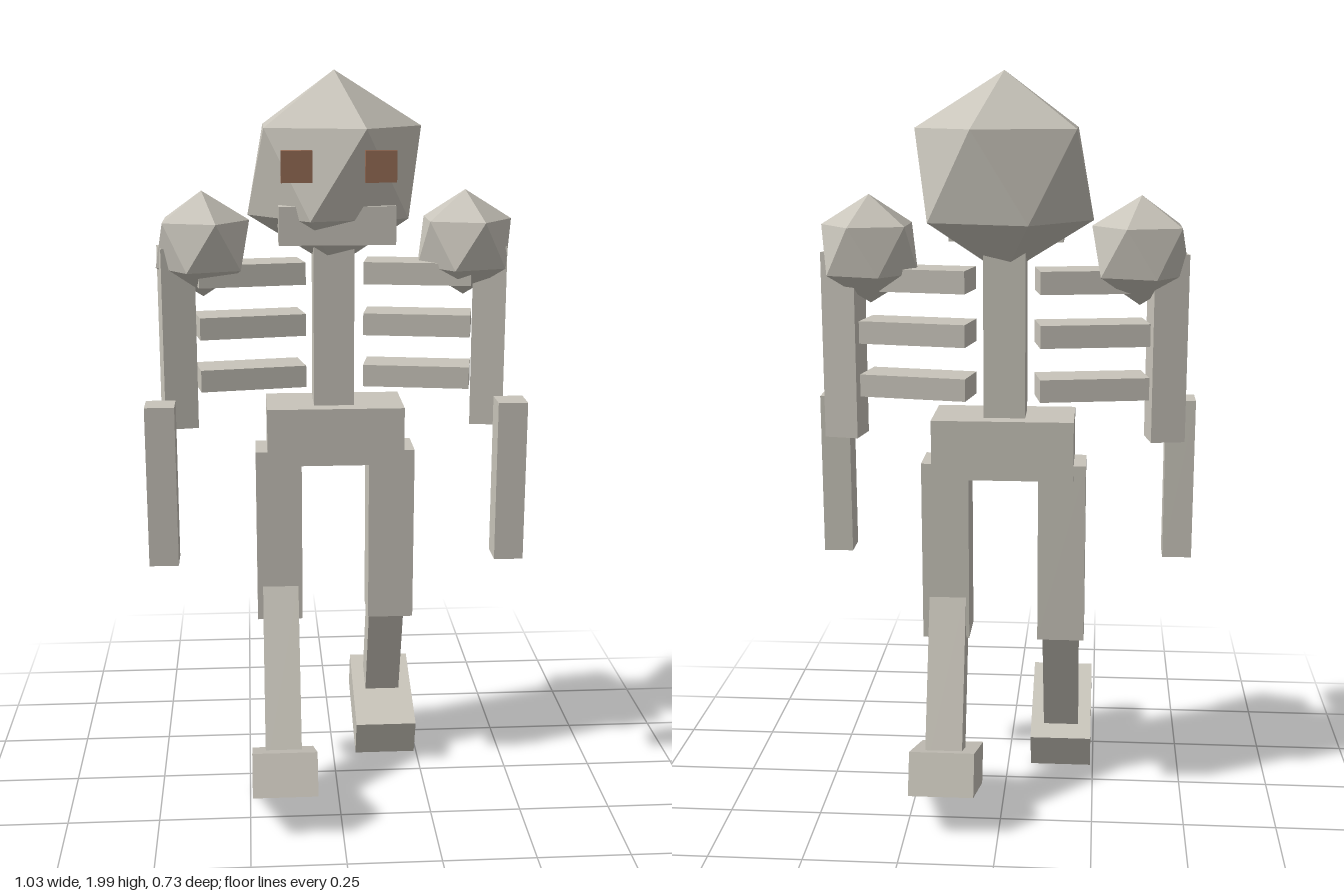
import * as THREE from 'three';
import { ConvexGeometry } from 'three/addons/geometries/ConvexGeometry.js';

const bone = new THREE.MeshStandardMaterial({ color: 0xc8c4ba });
bone.name = 'bone grey';
const rust = new THREE.MeshStandardMaterial({ color: 0x966c55 });
rust.name = 'eye brown';

const rad = THREE.MathUtils.degToRad;

// Twenty-sided ball standing on a point, with an upper-ring corner at +x
function icoBall(r) {
  const points = [new THREE.Vector3(0, r, 0), new THREE.Vector3(0, -r, 0)];
  const h = r / Math.sqrt(5);
  for (let i = 0; i < 10; i++) {
    const a = i * Math.PI / 5;
    points.push(new THREE.Vector3(2 * h * Math.cos(a), i % 2 ? -h : h, 2 * h * Math.sin(a)));
  }
  return new ConvexGeometry(points);
}

export function createModel() {
  const model = new THREE.Group();
  model.name = 'blockySkeleton';

  function add(name, geometry, position, rx = 0, ry = 0, material = bone) {
    const mesh = new THREE.Mesh(geometry, material);
    mesh.name = name;
    mesh.position.set(...position);
    mesh.rotation.set(rad(rx), rad(ry), 0);
    model.add(mesh);
    return mesh;
  }
  const box = (name, size, position, rx, ry, material) =>
    add(name, new THREE.BoxGeometry(...size), position, rx, ry, material);

  // Head and jaw
  add('skull', icoBall(0.26), [0, 1.74, -0.075]).scale.z = 0.9;
  box('jaw', [0.305, 0.1, 0.11], [0, 1.61, 0.035]);

  // Trunk
  box('spine', [0.11, 0.52, 0.11], [-0.003, 1.34, -0.075]);
  box('pelvis', [0.376, 0.16, 0.2], [0, 1.027, -0.075]);

  for (const s of [-1, 1]) {
    const side = s > 0 ? 'left' : 'right';

    box(side + 'Eye', [0.08, 0.08, 0.025], [s * 0.107, 1.765, 0.138], 0, 0, rust);

    // Ribs sweep forward towards their outer ends
    for (const y of [1.468, 1.328, 1.185]) {
      box(side + 'Rib', [0.29, 0.06, 0.117], [s * 0.231, y, -0.073], 0, -s * 10);
    }

    // Arms
    add(side + 'Shoulder', icoBall(0.142), [s * 0.355, 1.546, -0.076]);
    box(side + 'UpperArm', [0.091, 0.495, 0.091], [s * 0.428, 1.292, -0.073], 0, -s * 10);
    box(side + 'Forearm', [0.08, 0.445, 0.085], [s * 0.475, 0.91, 0.045]);

    // Thighs
    box(side + 'Thigh', [0.127, 0.493, 0.127], [s * 0.157, 0.733, -0.07]);
  }

  // Striding lower legs: right forward with toe up, left back with heel up
  box('rightShin', [0.1, 0.52, 0.1], [-0.155, 0.339, 0.053], -25);
  box('rightFoot', [0.175, 0.116, 0.3], [-0.155, 0.119, 0.204], -24);
  box('leftShin', [0.1, 0.515, 0.1], [0.152, 0.365, -0.167], 20);
  box('leftFoot', [0.175, 0.116, 0.3], [0.152, 0.127, -0.2], 19.5);

  return model;
}
